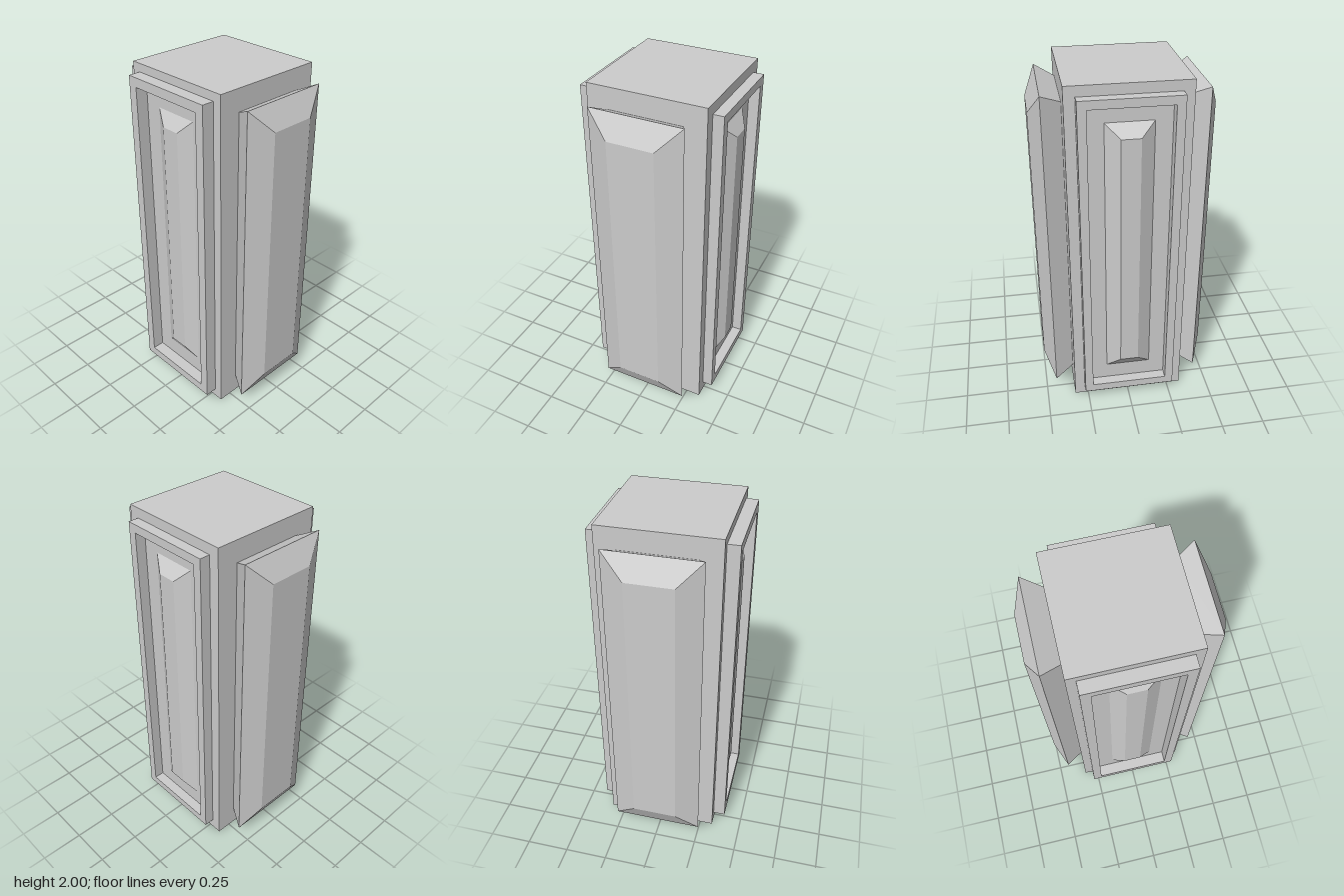
import * as THREE from 'three';

const material = new THREE.MeshStandardMaterial({ color: 0xcccccc, flatShading: true });

function addMesh(parent, name, geometry) {
  const mesh = new THREE.Mesh(geometry, material);
  mesh.name = name;
  parent.add(mesh);
  return mesh;
}

// Lofts rectangles { w: half width, b: bottom, t: top, z } stacked outward along +z.
function loftRectangles(sections) {
  const rings = sections.map(({ w, b, t, z }) => [[-w, b, z], [w, b, z], [w, t, z], [-w, t, z]]);
  const points = [];
  const quad = (p, q, r, s) => points.push(...p, ...q, ...r, ...p, ...r, ...s);
  for (let i = 0; i + 1 < rings.length; i++) {
    const lower = rings[i], upper = rings[i + 1];
    for (let k = 0; k < 4; k++) {
      const n = (k + 1) % 4;
      quad(lower[k], lower[n], upper[n], upper[k]);
    }
  }
  const first = rings[0], last = rings[rings.length - 1];
  quad(...last);
  quad(first[3], first[2], first[1], first[0]);
  const geometry = new THREE.BufferGeometry();
  geometry.setAttribute('position', new THREE.Float32BufferAttribute(points, 3));
  geometry.computeVertexNormals();
  return geometry;
}

function rectangle(path, w, b, t) {
  path.moveTo(-w, b);
  path.lineTo(w, b);
  path.lineTo(w, t);
  path.lineTo(-w, t);
  path.closePath();
  return path;
}

// Bevelled panel that flares out from the body, then chamfers to a flat face.
function createFlaredPanel() {
  return loftRectangles([
    { w: 0.207, b: 0.126, t: 1.877, z: 0.33 },
    { w: 0.262, b: 0.073, t: 1.93, z: 0.439 },
    { w: 0.131, b: 0.203, t: 1.8, z: 0.502 },
  ]);
}

// Raised rectangular rim with a tapered block inside it.
function createFramedSide(name, { w, b, t, rim, depth, block }) {
  const group = new THREE.Group();
  group.name = name;
  const shape = rectangle(new THREE.Shape(), w, b, t);
  shape.holes.push(rectangle(new THREE.Path(), w - rim, b + rim, t - rim));
  addMesh(group, 'frame', new THREE.ExtrudeGeometry(shape, { depth, bevelEnabled: false }));
  addMesh(group, 'taperedBlock', loftRectangles([
    { w: 0.131, b: 0.208, t: 1.8, z: 0 },
    { w: 0.053, b: 0.282, t: 1.725, z: block },
  ]));
  return group;
}

export function createModel() {
  const model = new THREE.Group();
  model.name = 'panelledPillar';

  // Main block
  addMesh(model, 'body', new THREE.BoxGeometry(0.662, 2, 0.662)).position.set(0.004, 1, -0.001);

  // Front and back panels
  for (const [name, angle] of [['frontPanel', 0], ['backPanel', Math.PI]]) {
    const panel = addMesh(model, name, createFlaredPanel());
    panel.rotation.y = angle;
    panel.position.x = 0.004;
  }

  // Framed sides, the right one slightly larger
  const left = createFramedSide('leftSide',
    { w: 0.272, b: 0.061, t: 1.943, rim: 0.048, depth: 0.06, block: 0.05 });
  left.position.set(0.335, 0, -0.001);
  left.rotation.y = Math.PI / 2;
  const right = createFramedSide('rightSide',
    { w: 0.281, b: 0.052, t: 1.953, rim: 0.053, depth: 0.07, block: 0.042 });
  right.position.set(-0.327, 0, -0.001);
  right.rotation.y = -Math.PI / 2;
  model.add(left, right);

  return model;
}
